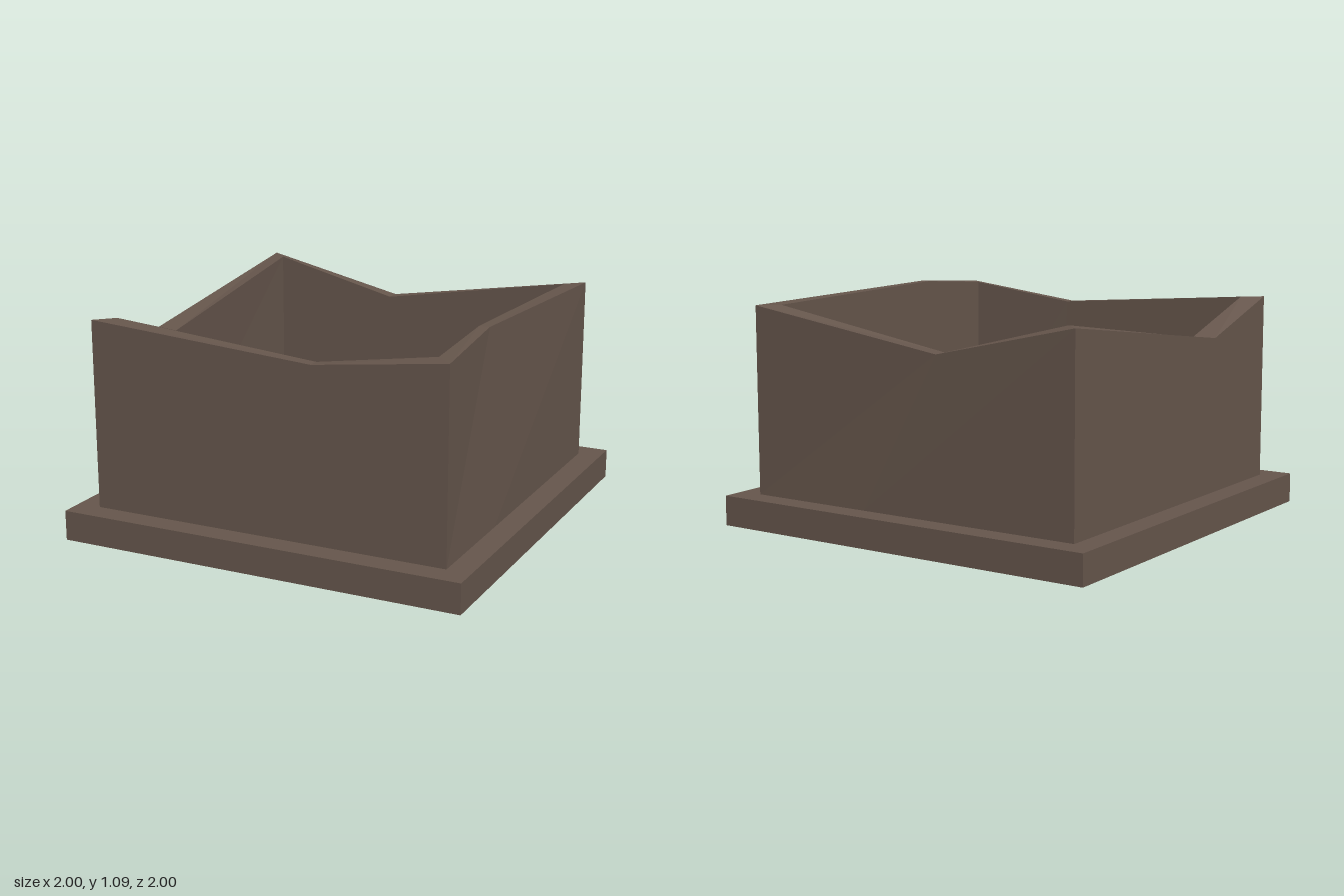
import * as THREE from 'three';

const BASE_TOP = 0.144;

// Rim stations, anticlockwise from above: outer [x, z], inner [x, z], height,
// and the x, z where each crease meets the base outside and inside.
const stations = [
  { outer: [-0.885, 0.885], inner: [-0.8, 0.8], y: 1.05 },
  { outer: [0.24, 0.885], inner: [0.24, 0.83], y: 0.97, foot: [0.24, 0.885], innerFoot: [0.24, 0.8] },
  { outer: [0.885, 0.885], inner: [0.8, 0.8], y: 1.05 },
  { outer: [0.85, 0.35], inner: [0.8, 0.35], y: 1.085, foot: [0.885, 0.32], innerFoot: [0.8, 0.35] },
  { outer: [0.885, -0.885], inner: [0.8, -0.8], y: 1.05 },
  { outer: [-0.16, -0.873], inner: [-0.16, -0.8], y: 0.89, foot: [0.25, -0.885], innerFoot: [-0.16, -0.8] },
  { outer: [-0.885, -0.885], inner: [-0.8, -0.8], y: 1.05 },
  { outer: [-0.885, 0.365], inner: [-0.78, 0.335], y: 0.89, foot: [-0.885, 0.365], innerFoot: [-0.8, 0.335] },
];

// Joins the cross-sections (outer foot, outer rim, inner rim, inner foot) around the loop
function createWallGeometry() {
  const sections = stations.map(({ outer, inner, y, foot = outer, innerFoot = inner }) => [
    [foot[0], BASE_TOP, foot[1]],
    [outer[0], y, outer[1]],
    [inner[0], y, inner[1]],
    [innerFoot[0], BASE_TOP, innerFoot[1]],
  ]);
  const positions = [];
  sections.forEach((a, i) => {
    const b = sections[(i + 1) % sections.length];
    for (let j = 0; j < 3; j++) {
      positions.push(...a[j], ...b[j], ...b[j + 1], ...a[j], ...b[j + 1], ...a[j + 1]);
    }
  });
  const geometry = new THREE.BufferGeometry();
  geometry.setAttribute('position', new THREE.Float32BufferAttribute(positions, 3));
  geometry.computeVertexNormals();
  return geometry;
}

export function createModel() {
  const model = new THREE.Group();
  model.name = 'brokenPedestal';

  const stone = new THREE.MeshStandardMaterial({ color: 0x66564c });
  stone.name = 'brown stone';
  stone.flatShading = true;

  // Square plinth, whose top is also the floor inside the walls
  const plinth = new THREE.Mesh(new THREE.BoxGeometry(2, BASE_TOP, 2), stone);
  plinth.name = 'plinth';
  plinth.position.y = BASE_TOP / 2;

  // Hollow walls with an uneven, broken rim
  const walls = new THREE.Mesh(createWallGeometry(), stone);
  walls.name = 'walls';

  model.add(plinth, walls);
  return model;
}
